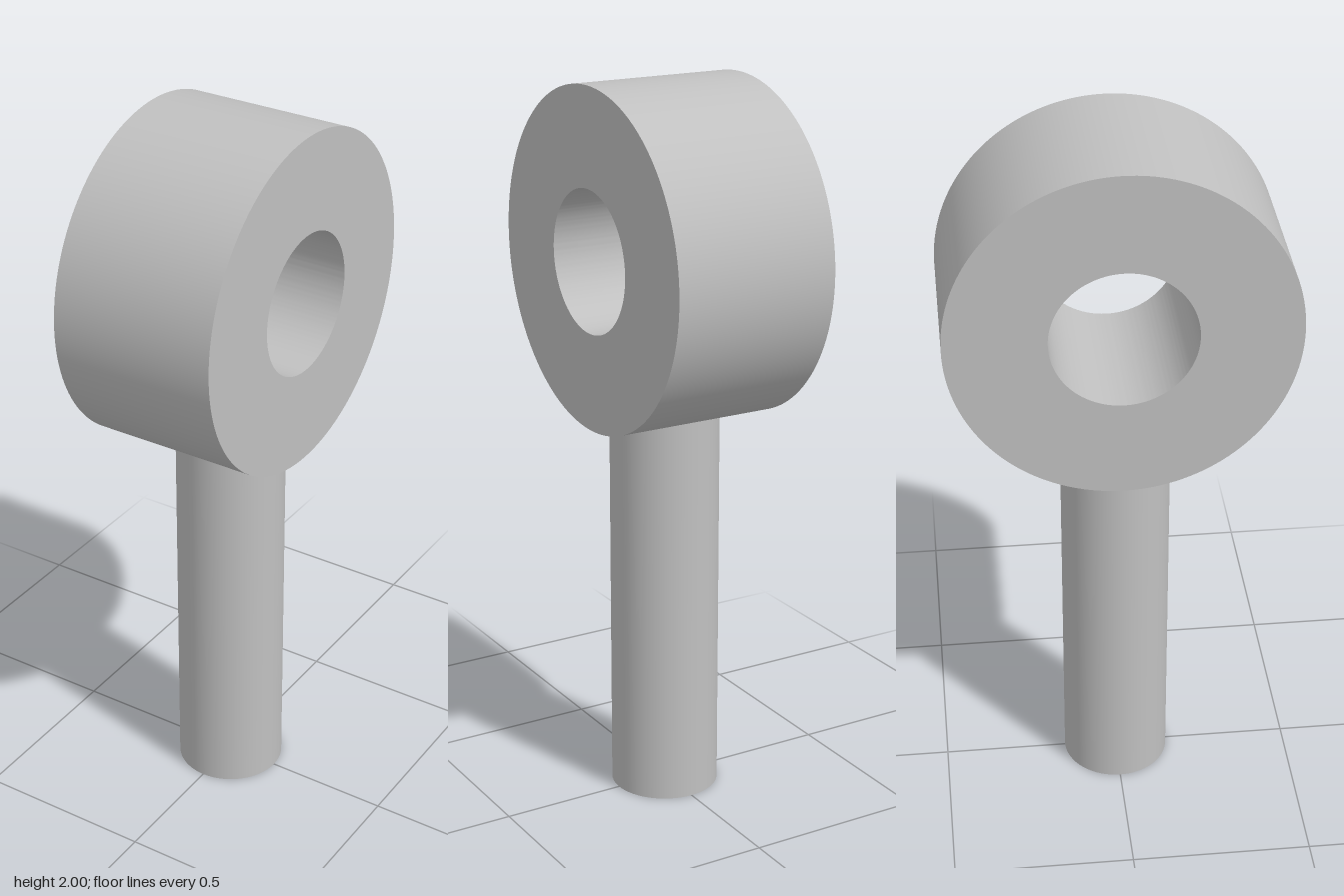
import * as THREE from 'three';
import { toCreasedNormals } from 'three/addons/utils/BufferGeometryUtils.js';

const EYE_Y = 1.54, OUTER_R = 0.46, HOLE_R = 0.193, EYE_WIDTH = 0.46;
const SHANK_R = 0.15, SHANK_TOP = 1.12;

export function createModel() {
  const group = new THREE.Group();
  group.name = 'eyeBolt';
  const steel = new THREE.MeshStandardMaterial({ color: 0xc0c0c0 });
  steel.name = 'steel grey';

  // Thick ring with its bore running along x
  const outline = new THREE.Shape().absarc(0, 0, OUTER_R, 0, Math.PI * 2, false);
  outline.holes.push(new THREE.Path().absarc(0, 0, HOLE_R, 0, Math.PI * 2, true));
  const ring = new THREE.ExtrudeGeometry(outline, {
    depth: EYE_WIDTH, bevelEnabled: false, curveSegments: 96,
  });
  ring.translate(0, 0, -EYE_WIDTH / 2).rotateY(Math.PI / 2);
  const eye = new THREE.Mesh(toCreasedNormals(ring, Math.PI / 6), steel);
  eye.name = 'eyeRing';
  eye.position.y = EYE_Y;
  group.add(eye);

  // Round shank, its top buried just inside the ring
  const shank = new THREE.Mesh(
    new THREE.CylinderGeometry(SHANK_R, SHANK_R, SHANK_TOP, 64), steel);
  shank.name = 'shank';
  shank.position.y = SHANK_TOP / 2;
  group.add(shank);

  return group;
}
